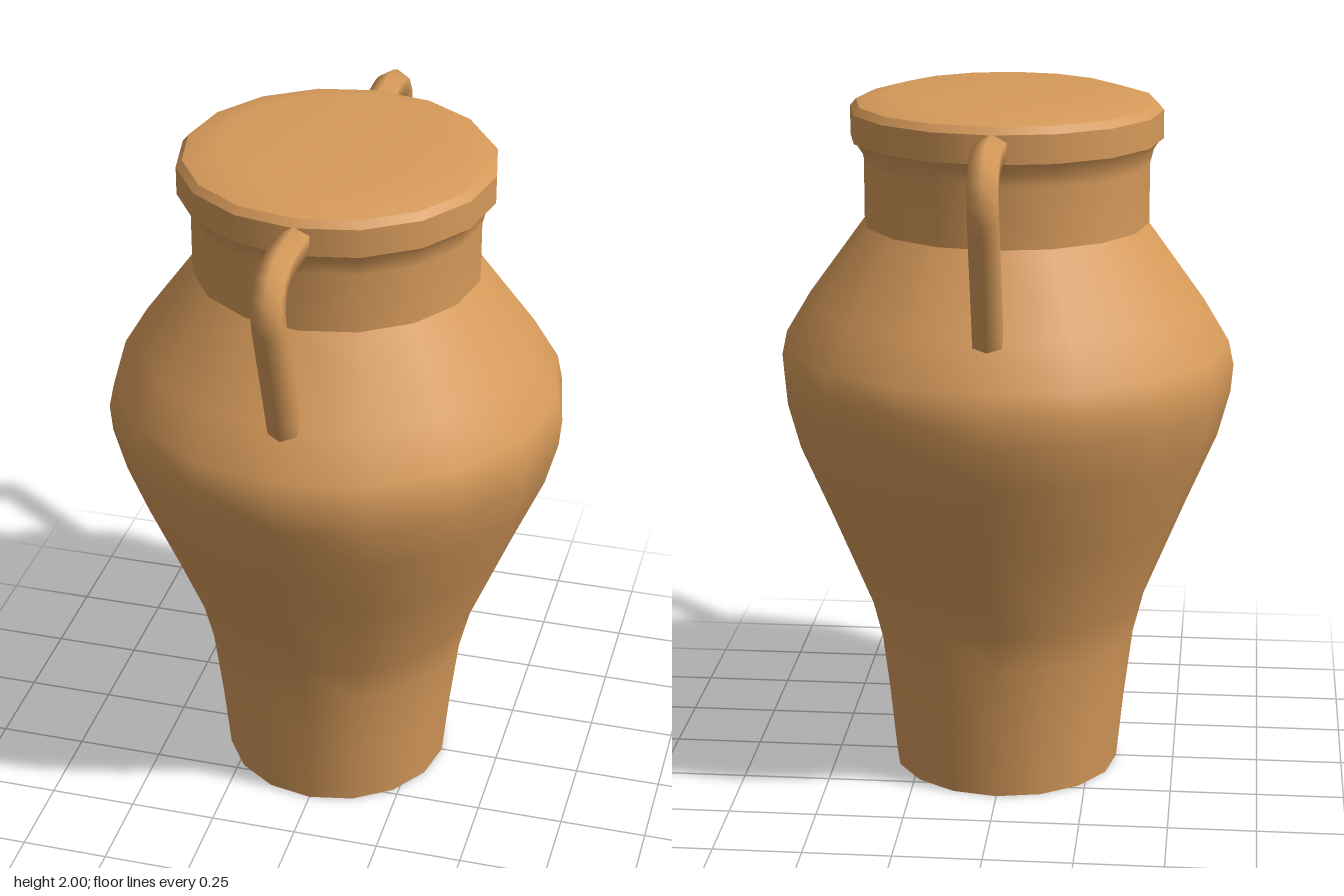
import * as THREE from 'three';
import { toCreasedNormals } from 'three/addons/utils/BufferGeometryUtils.js';

const SIDES = 16;

export function createModel() {
  const group = new THREE.Group();
  const clay = new THREE.MeshStandardMaterial({ color: 0xd69a5a });

  // Turned part from [radius, height] pairs, bottom to top
  function turned(name, profile) {
    const points = profile.map(([r, y]) => new THREE.Vector2(r, y));
    const mesh = new THREE.Mesh(new THREE.LatheGeometry(points, SIDES), clay);
    mesh.name = name;
    group.add(mesh);
  }

  // Separate lathes keep the edges between them sharp
  turned('base', [[0, 0], [0.33, 0]]);
  turned('body', [
    [0.33, 0], [0.35, 0.2], [0.375, 0.4], [0.405, 0.52], [0.52, 0.8], [0.61, 1.01],
    [0.645, 1.14], [0.652, 1.22], [0.637, 1.29], [0.565, 1.41], [0.405, 1.63],
  ]);
  turned('neck', [[0.405, 1.63], [0.405, 1.8], [0.415, 1.84], [0.435, 1.87]]);
  turned('rimUnderside', [[0.41, 1.87], [0.442, 1.87]]);
  turned('rim', [[0.442, 1.87], [0.442, 1.95]]);
  turned('rimBevel', [[0.442, 1.95], [0.425, 1.97]]);
  turned('lid', [[0.425, 1.97], [0.32, 2], [0, 2]].map(([r, y]) => [r, y]));

  // Six-sided handle swept from the rim down to the shoulder
  const section = new THREE.Shape();
  for (let i = 0; i < 6; i++) {
    const a = Math.PI / 2 + (i * Math.PI) / 3;
    const x = 0.046 * Math.cos(a), y = 0.046 * Math.sin(a);
    if (i === 0) section.moveTo(x, y);
    else section.lineTo(x, y);
  }
  const path = new THREE.CatmullRomCurve3([
    [1.903, 0.4], [1.911, 0.5], [1.911, 0.59], [1.885, 0.66],
    [1.82, 0.685], [1.74, 0.663], [1.57, 0.605], [1.409, 0.551],
  ].map(([y, z]) => new THREE.Vector3(0, y, z)));
  const handleGeometry = toCreasedNormals(
    new THREE.ExtrudeGeometry(section, { steps: 18, extrudePath: path, bevelEnabled: false }), 1.2);

  ['frontHandle', 'backHandle'].forEach((name, i) => {
    const handle = new THREE.Mesh(handleGeometry, clay);
    handle.name = name;
    handle.rotation.y = i * Math.PI;
    group.add(handle);
  });

  return group;
}
